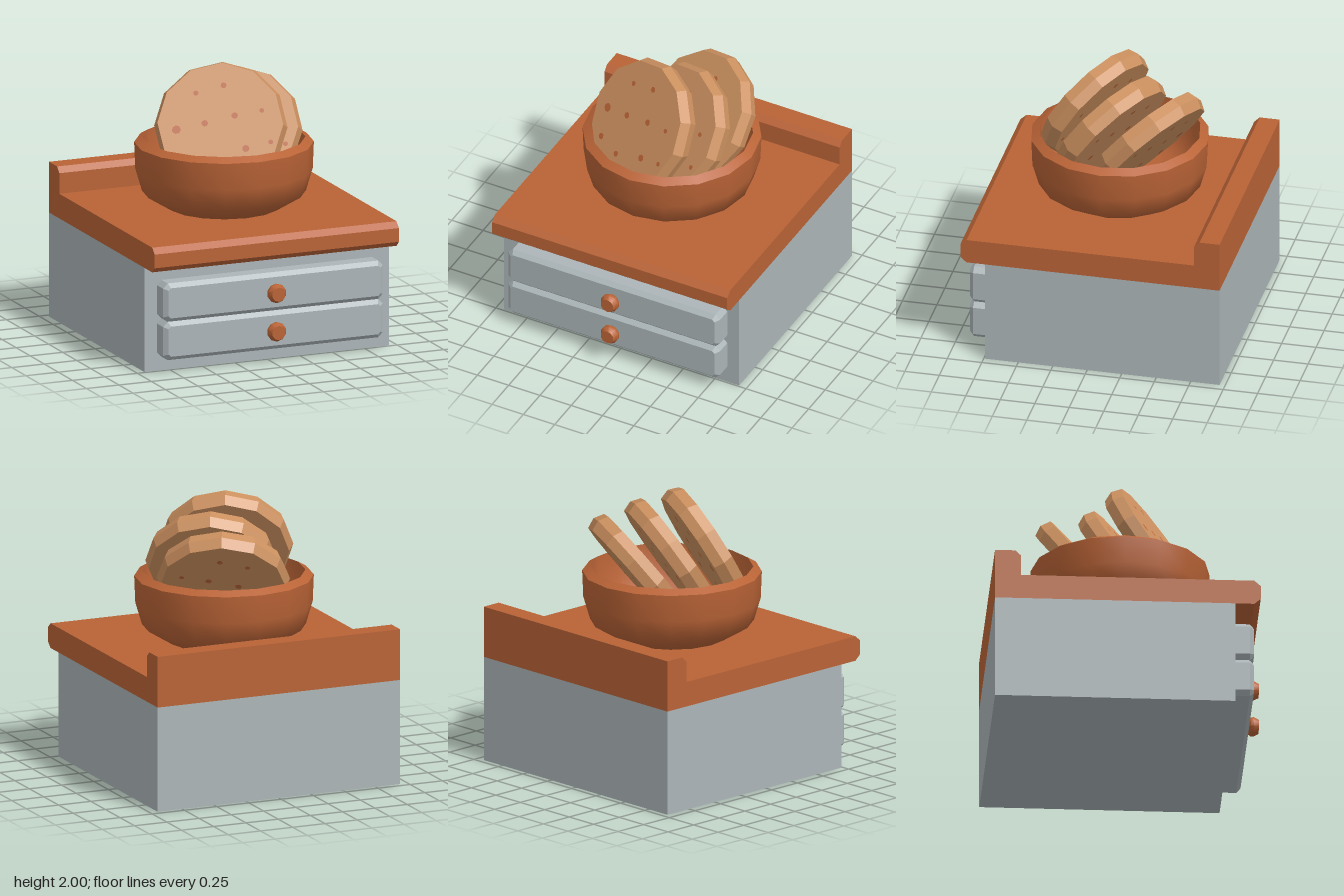
import * as THREE from 'three';
import { toCreasedNormals } from 'three/addons/utils/BufferGeometryUtils.js';

const mat = (name, color) => {
  const m = new THREE.MeshStandardMaterial({ color });
  m.name = name;
  return m;
};

const lathe = (points, sides) =>
  new THREE.LatheGeometry(points.map(([r, y]) => new THREE.Vector2(r, y)), sides);

// Facet every side of a geometry
const facet = (geo) => {
  const g = geo.index ? geo.toNonIndexed() : geo;
  g.computeVertexNormals();
  return g;
};

const polygon = (points) => new THREE.Shape(points.map(([x, y]) => new THREE.Vector2(x, y)));

export function createModel() {
  const wood = mat('terracotta wood', 0xb96336);
  const paint = mat('grey paint', 0xacb5b8);
  const dough = mat('baked dough', 0xcb905f);

  const model = new THREE.Group();
  model.name = 'cookieBowlOnCabinet';
  const add = (parent, name, geo, material, x = 0, y = 0, z = 0) => {
    const mesh = new THREE.Mesh(geo, material);
    mesh.name = name;
    mesh.position.set(x, y, z);
    parent.add(mesh);
    return mesh;
  };

  // Cabinet body
  add(model, 'cabinet', new THREE.BoxGeometry(1.88, 0.76, 1.7), paint, 0, 0.38, -0.11);

  // Countertop with raised back edge: side profile (z, y) swept across x
  const profile = polygon([
    [-0.96, 0.76], [0.875, 0.76], [0.92, 0.8], [0.92, 0.9], [0.875, 0.94],
    [-0.775, 0.94], [-0.775, 1.09], [-0.815, 1.13], [-0.96, 1.13],
  ]);
  const top = new THREE.ExtrudeGeometry(profile, { depth: 1.88, bevelEnabled: false });
  top.rotateY(-Math.PI / 2);
  add(model, 'countertop', top, wood, 0.94, 0, 0);

  // Drawers with chamfered edges, each with a round knob
  const w = 0.845, h = 0.14, c = 0.035;
  const drawerShape = polygon([
    [-w + c, -h], [w - c, -h], [w, -h + c], [w, h - c],
    [w - c, h], [-w + c, h], [-w, h - c], [-w, -h + c],
  ]);
  const drawerGeo = new THREE.ExtrudeGeometry(drawerShape, {
    depth: 0.14, bevelThickness: 0.03, bevelSize: 0.03, bevelOffset: -0.03, bevelSegments: 1,
  });
  const knobGeo = toCreasedNormals(
    lathe([[0.05, 0], [0.068, 0.022], [0.07, 0.045], [0.052, 0.08], [0, 0.08]], 10), 0.7);
  knobGeo.rotateX(Math.PI / 2);
  for (const y of [0.24, 0.52]) {
    add(model, 'drawer', drawerGeo, paint, 0, y, 0.71);
    add(model, 'drawerKnob', knobGeo, wood, 0, y, 0.88);
  }

  // Bowl: smooth outside, bevelled rim, smooth inside
  const bowl = new THREE.Group();
  bowl.name = 'bowl';
  bowl.position.set(0, 0.94, -0.02);
  model.add(bowl);
  const sides = 16;
  add(bowl, 'bowlOutside', lathe([[0, 0], [0.4, 0], [0.58, 0.11], [0.627, 0.27], [0.635, 0.465]], sides), wood);
  add(bowl, 'bowlRim', lathe([[0.635, 0.465], [0.575, 0.5]], sides), wood);
  add(bowl, 'bowlInside', lathe([[0.575, 0.5], [0.56, 0.28], [0.47, 0.13], [0.3, 0.05], [0, 0.05]], sides), wood);

  // Cookies: twelve-sided discs with chips on both faces
  const half = 0.075;
  const cookieGeo = facet(lathe([[0, -half], [0.445, -half], [0.472, 0], [0.445, half], [0, half]], 12));
  // Chip positions across the face and sizes
  const chips = [
    [-0.18, 0.22, 0.019], [0.015, 0.28, 0.022], [-0.31, -0.05, 0.032], [-0.11, 0, 0.024],
    [0.1, 0.06, 0.024], [0.29, 0.1, 0.018], [0.36, -0.13, 0.018], [0.185, -0.18, 0.026],
    [-0.05, -0.28, 0.022], [-0.25, -0.25, 0.024],
  ];
  const cookies = [
    { at: [-0.115, 1.577, 0.19], normal: [-0.39, 0.495, 0.777] },
    { at: [0.07, 1.5, 0.03], normal: [-0.38, 0.55, 0.74] },
    { at: [0.11, 1.45, -0.25], normal: [-0.35, 0.62, 0.7] },
  ];
  for (const { at, normal } of cookies) {
    const cookie = new THREE.Group();
    cookie.name = 'cookie';
    const n = new THREE.Vector3(...normal).normalize();
    const right = new THREE.Vector3(n.z, 0, -n.x).normalize();
    const down = new THREE.Vector3().crossVectors(right, n);
    cookie.quaternion.setFromRotationMatrix(new THREE.Matrix4().makeBasis(right, n, down));
    cookie.position.set(...at);
    model.add(cookie);
    add(cookie, 'cookieDisc', cookieGeo, dough);
    for (const side of [1, -1]) {
      for (const [u, v, r] of chips) {
        const chip = add(cookie, 'chip', new THREE.CircleGeometry(r, 7), wood, u, side * (half + 0.003), -v);
        chip.rotation.x = -side * Math.PI / 2;
      }
    }
  }

  return model;
}
